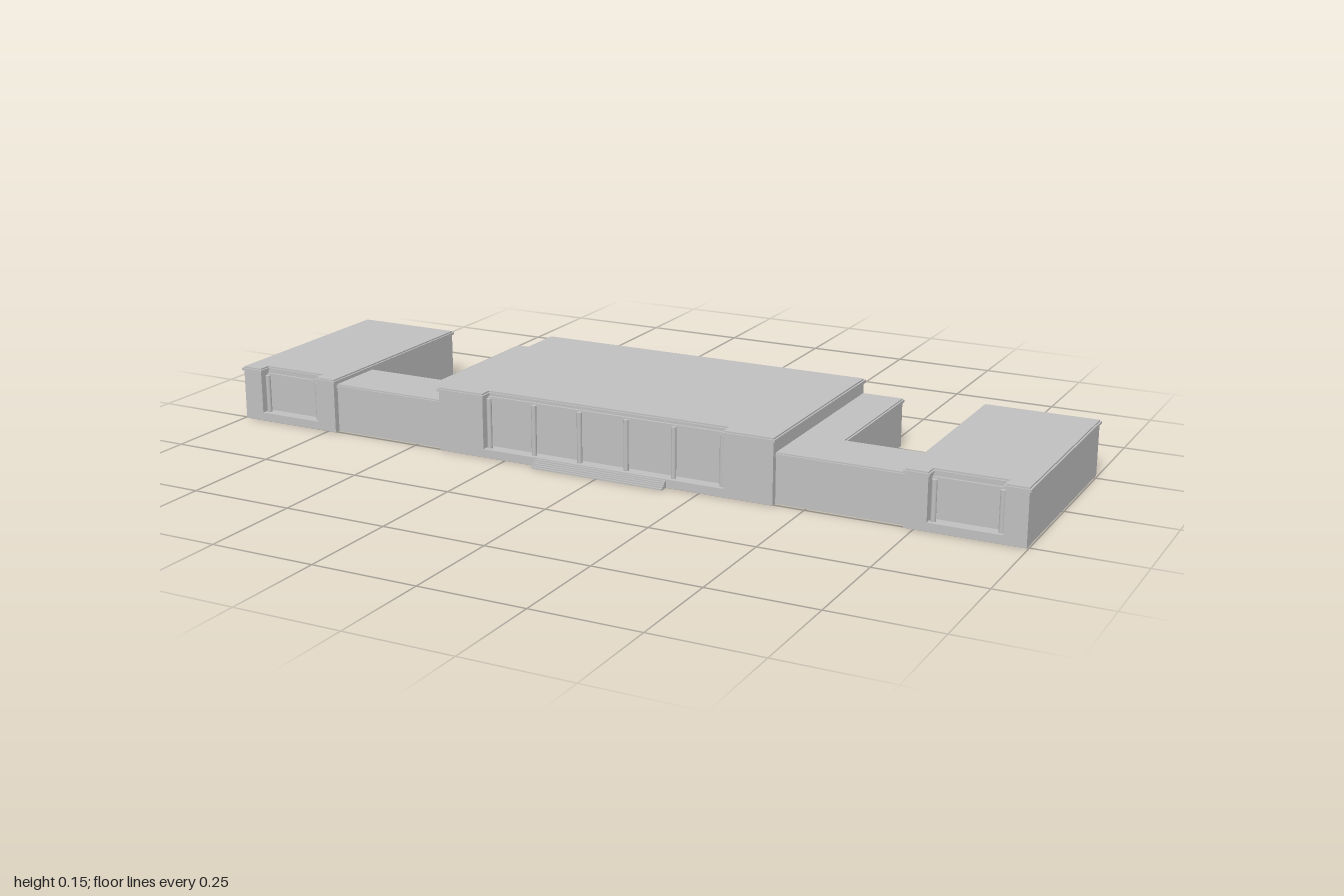
import * as THREE from 'three';

const stone = new THREE.MeshStandardMaterial({ color: 0xc0c0c0, side: THREE.DoubleSide });
stone.name = 'grey stone';

// Plan outlines are [x, z] points, counter-clockwise as seen from above.
const planShape = (pts) => new THREE.Shape(pts.map(([x, z]) => new THREE.Vector2(x, -z)));
const mirrored = (pts) => pts.map(([x, z]) => [-x, z]).reverse();

// Grow a right-angled outline outwards by d
function outset(pts, d) {
  const n = pts.length;
  const normal = (a, b) => {
    const dx = Math.sign(b[0] - a[0]), dz = Math.sign(b[1] - a[1]);
    return [-dz, dx];
  };
  return pts.map((p, i) => {
    const n1 = normal(pts[(i + n - 1) % n], p), n2 = normal(p, pts[(i + 1) % n]);
    return [p[0] + d * (n1[0] + n2[0]), p[1] + d * (n1[1] + n2[1])];
  });
}

function add(parent, geometry, name, x = 0, y = 0, z = 0) {
  const mesh = new THREE.Mesh(geometry, stone);
  mesh.name = name;
  mesh.position.set(x, y, z);
  parent.add(mesh);
  return mesh;
}

// Hollow block: walls and a flat roof, open underneath
function block(parent, pts, height, name) {
  const pos = [];
  pts.forEach(([x0, z0], i) => {
    const [x1, z1] = pts[(i + 1) % pts.length];
    pos.push(x0, 0, z0, x1, 0, z1, x1, height, z1, x0, 0, z0, x1, height, z1, x0, height, z0);
  });
  const walls = new THREE.BufferGeometry();
  walls.setAttribute('position', new THREE.Float32BufferAttribute(pos, 3));
  walls.computeVertexNormals();
  add(parent, walls, name + 'Walls');
  add(parent, new THREE.ShapeGeometry(planShape(pts)).rotateX(-Math.PI / 2), name + 'Roof', 0, height);
}

// Thin ledge running around an outline
function cornice(parent, pts, y, name) {
  const ring = planShape(outset(pts, 0.004));
  ring.holes.push(planShape(pts));
  const geo = new THREE.ExtrudeGeometry(ring, { depth: 0.006, bevelEnabled: false });
  add(parent, geo.rotateX(-Math.PI / 2), name + 'Cornice', 0, y);
}

const BACK = -0.27, FRONT = 0.255, RECESS = 0.225, FLOOR = 0.02;

// Rectangle with a notch cut into its front side
const notched = (x0, x1, n0, n1) => [
  [x0, BACK], [x0, FRONT], [n0, FRONT], [n0, RECESS],
  [n1, RECESS], [n1, FRONT], [x1, FRONT], [x1, BACK],
];

// Porch inside a notch: raised floor, row of columns
function porch(parent, n0, n1, top, count) {
  block(parent, [[n0, RECESS], [n0, FRONT], [n1, FRONT], [n1, RECESS]], FLOOR, 'porchFloor');
  for (let i = 0; i < count; i++) {
    const x = n0 + 0.009 + ((n1 - n0 - 0.018) * i) / (count - 1);
    add(parent, new THREE.CylinderGeometry(0.006, 0.006, top - FLOOR, 12), 'column',
      x, (top + FLOOR) / 2, 0.24);
  }
  // Slim beam along the recessed wall
  add(parent, new THREE.BoxGeometry(n1 - n0, 0.004, 0.006), 'beam', (n0 + n1) / 2, top, RECESS + 0.003);
}

export function createModel() {
  const model = new THREE.Group();
  model.name = 'building';

  // Central hall
  const hall = new THREE.Group();
  hall.name = 'hall';
  const hallPlan = notched(-0.427, 0.427, -0.308, 0.308);
  block(hall, hallPlan, 0.154, 'hall');
  cornice(hall, hallPlan, 0.1445, 'hall');
  porch(hall, -0.308, 0.308, 0.14, 6);
  model.add(hall);

  // Entrance steps
  const steps = 5, rise = 0.0175 / steps, run = 0.0205 / steps;
  for (let i = 0; i < steps; i++) {
    const depth = run * (steps - i);
    add(model, new THREE.BoxGeometry(0.336, rise, depth), 'step', 0, rise * (i + 0.5), FRONT + depth / 2);
  }

  // Low link buildings and end pavilions, on both sides
  const linkPlan = [
    [0.427, BACK], [0.427, 0.24], [0.728, 0.24], [0.728, 0.094], [0.526, 0.094], [0.526, BACK],
  ];
  const wingPlan = notched(0.728, 0.996, 0.779, 0.945);
  for (const side of [1, -1]) {
    const flip = (pts) => (side > 0 ? pts : mirrored(pts));
    const link = new THREE.Group();
    link.name = side > 0 ? 'leftLink' : 'rightLink';
    block(link, flip(linkPlan), 0.118, 'link');
    cornice(link, flip(linkPlan), 0.109, 'link');

    const wing = new THREE.Group();
    wing.name = side > 0 ? 'leftWing' : 'rightWing';
    block(wing, flip(wingPlan), 0.132, 'wing');
    cornice(wing, flip(wingPlan), 0.1225, 'wing');
    const ends = [0.779 * side, 0.945 * side].sort((a, b) => a - b);
    porch(wing, ends[0], ends[1], 0.113, 2);
    model.add(link, wing);
  }
  return model;
}
